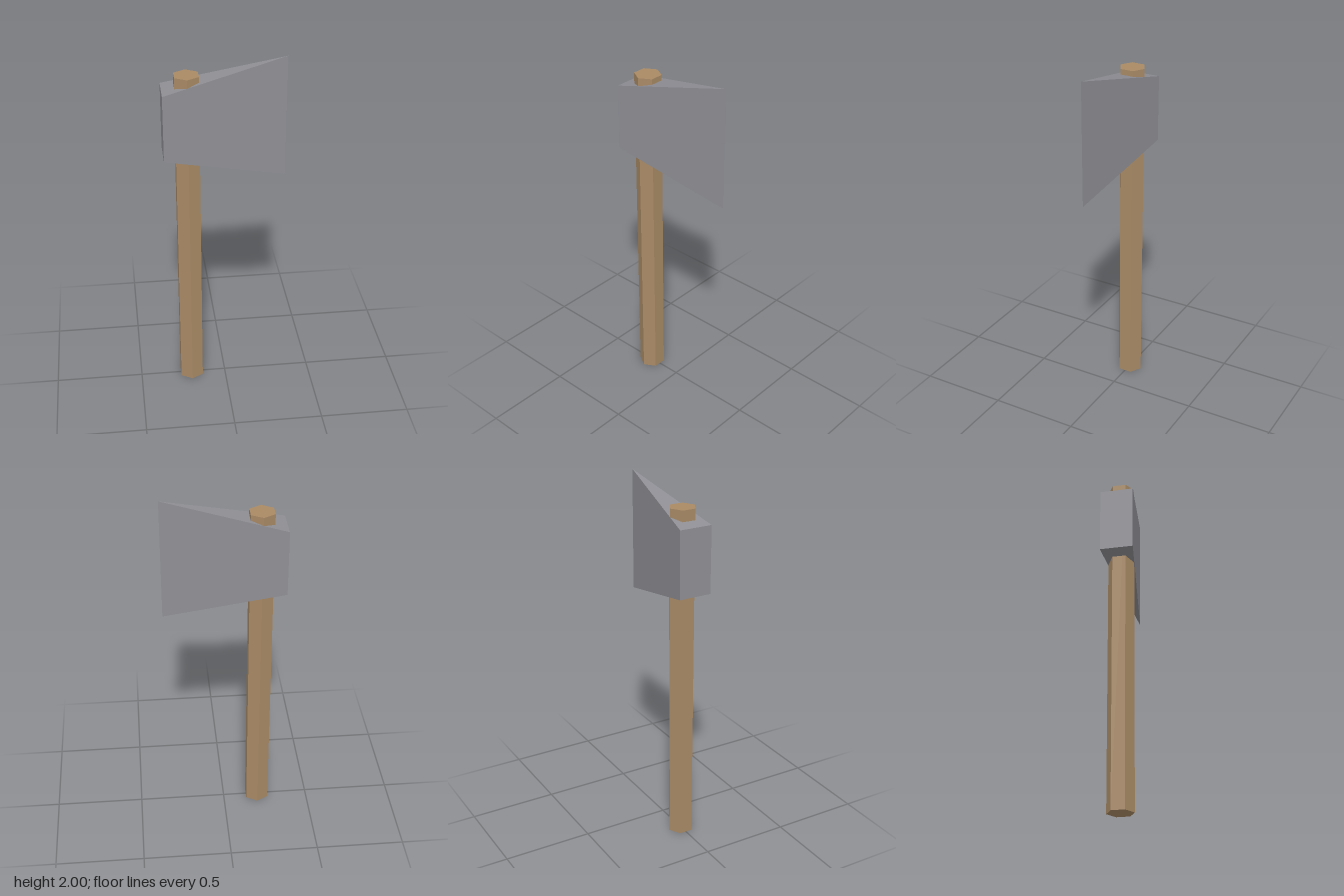
import * as THREE from 'three';
import { ConvexGeometry } from 'three/addons/geometries/ConvexGeometry.js';

export function createModel() {
  const wood = new THREE.MeshStandardMaterial({ name: 'wood', color: 0xa98a65, flatShading: true });
  const steel = new THREE.MeshStandardMaterial({ name: 'steel', color: 0x8e8e94, flatShading: true });
  const axe = new THREE.Group();
  axe.name = 'axe';

  // Six-sided handle, corners pointing front and back
  const handle = new THREE.Mesh(new THREE.CylinderGeometry(0.074, 0.074, 1.92, 6), wood);
  handle.name = 'handle';
  handle.position.set(-0.2, 0.96, 0);
  axe.add(handle);

  // Wedge head: thick short poll at -x, tall sharp edge at +x
  const corners = [];
  for (const y of [1.47, 1.843]) {
    for (const z of [-0.093, 0.093]) corners.push(new THREE.Vector3(-0.332, y, z));
  }
  for (const y of [1.312, 2]) corners.push(new THREE.Vector3(0.332, y, 0));
  const head = new THREE.Mesh(new ConvexGeometry(corners), steel);
  head.name = 'axeHead';
  axe.add(head);

  return axe;
}
